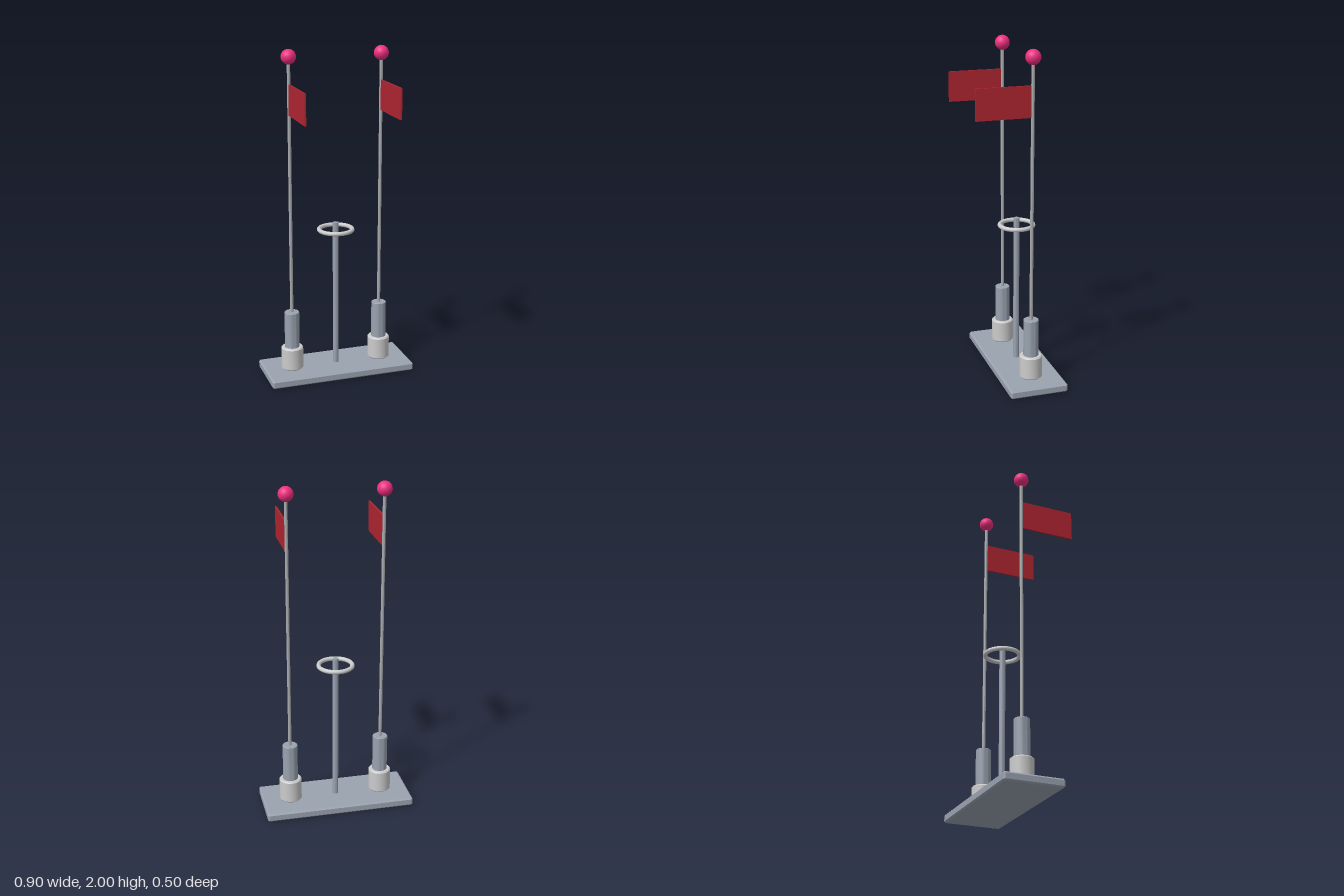
import * as THREE from 'three';
import { toCreasedNormals } from 'three/addons/utils/BufferGeometryUtils.js';
import { ConvexGeometry } from 'three/addons/geometries/ConvexGeometry.js';

const material = (color) => new THREE.MeshStandardMaterial({ color });
const steel = material(0x9aa3b0);
const light = material(0xcccccc);
const rod = material(0xa8aaad);
const red = material(0xb02531);
const pink = material(0xee2f80);

function part(name, geometry, mat, x = 0, y = 0, z = 0) {
  const mesh = new THREE.Mesh(geometry, mat);
  mesh.name = name;
  mesh.position.set(x, y, z);
  return mesh;
}

// Box with every edge and corner chamfered by b
function chamferedBox(w, h, d, b) {
  const [x, y, z] = [w / 2, h / 2, d / 2];
  const points = [];
  for (const i of [-1, 1]) for (const j of [-1, 1]) for (const k of [-1, 1]) {
    points.push(
      new THREE.Vector3(i * x, j * (y - b), k * (z - b)),
      new THREE.Vector3(i * (x - b), j * y, k * (z - b)),
      new THREE.Vector3(i * (x - b), j * (y - b), k * z));
  }
  return new ConvexGeometry(points);
}

// Upright solid round from y0 to y1, with chamfered rims
function round(r, y0, y1, b, sides = 32) {
  const profile = [[0, y0], [r - b, y0], [r, y0 + b], [r, y1 - b], [r - b, y1], [0, y1]];
  const lathe = new THREE.LatheGeometry(profile.map((p) => new THREE.Vector2(...p)), sides);
  return toCreasedNormals(lathe, 0.6);
}

// One flagpole standing in its socket
function flagpole(name, x) {
  const g = new THREE.Group();
  g.name = name;
  g.position.x = x;
  g.add(part('socket', round(0.067, 0.05, 0.19, 0.007), light));
  g.add(part('sleeve', round(0.045, 0.18, 0.415, 0.003), steel));
  g.add(part('pole', round(0.01, 0.4, 1.94, 0.001, 16), rod));
  g.add(part('ball', new THREE.SphereGeometry(0.044, 20, 14), pink, 0, 1.956));
  g.add(part('flag', new THREE.BoxGeometry(0.01, 0.18, 0.32), red, 0, 1.71, 0.17));
  return g;
}

export function createModel() {
  const model = new THREE.Group();
  model.name = 'flagStand';
  model.position.z = -0.08;

  // Base plate
  model.add(part('base', chamferedBox(0.9, 0.05, 0.35, 0.009), steel, 0, 0.025));

  // Central post with a carrying ring around its top
  model.add(part('post', round(0.018, 0.04, 0.955, 0.001, 20), steel));
  const ring = part('ring', new THREE.TorusGeometry(0.1, 0.013, 12, 48), light, 0, 0.91);
  ring.rotation.x = Math.PI / 2;
  model.add(ring);

  // Pair of flagpoles
  model.add(flagpole('leftFlagpole', 0.28), flagpole('rightFlagpole', -0.28));

  const root = new THREE.Group();
  root.add(model);
  return root;
}
